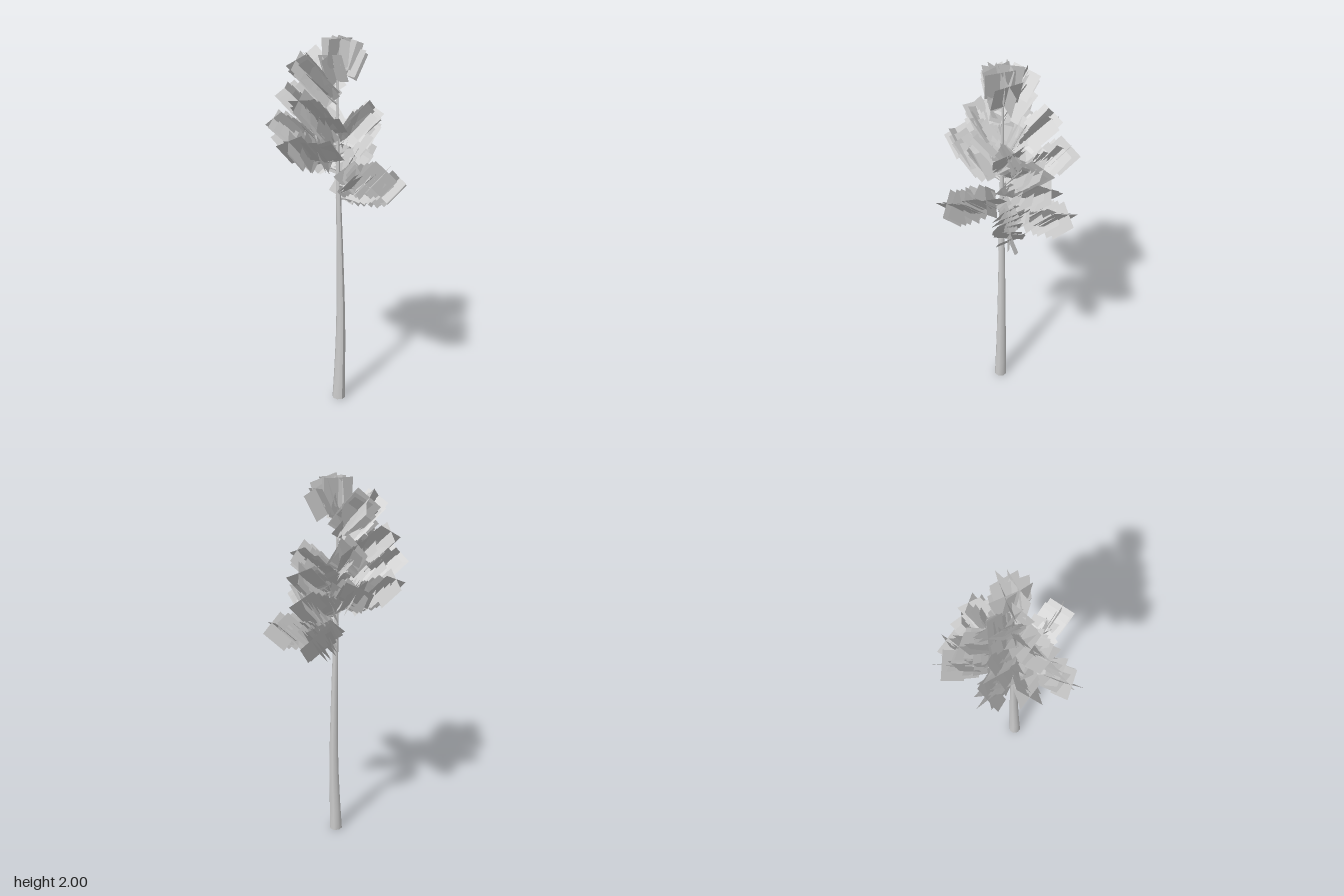
import * as THREE from 'three';
import { mergeGeometries } from 'three/addons/utils/BufferGeometryUtils.js';

const V = (x, y, z) => new THREE.Vector3(x, y, z);
const LEAF = 0.145;

// Small seeded generator, returns -1..1
let seed = 7;
const jitter = () => {
  seed = (seed * 16807) % 2147483647;
  return (seed / 2147483647) * 2 - 1;
};

// Tapered open tube along a curve
function taperedTube(curve, segments, sides, radiusAt) {
  const geo = new THREE.TubeGeometry(curve, segments, 1, sides, false);
  const pos = geo.attributes.position;
  const p = V(0, 0, 0);
  for (let i = 0; i < pos.count; i++) {
    const t = Math.floor(i / (sides + 1)) / segments;
    const c = curve.getPointAt(t);
    p.fromBufferAttribute(pos, i).sub(c).multiplyScalar(radiusAt(t)).add(c);
    pos.setXYZ(i, p.x, p.y, p.z);
  }
  geo.computeVertexNormals();
  return geo;
}

// Two square cards crossed on the leaf's axis, growing from its base
function crossedLeaf(base, azimuth, elevation, roll) {
  const axis = V(Math.cos(elevation) * Math.cos(azimuth), Math.sin(elevation), Math.cos(elevation) * Math.sin(azimuth));
  const side = V(-Math.sin(azimuth), 0, Math.cos(azimuth)).applyAxisAngle(axis, roll);
  const face = side.clone().cross(axis);
  const m = new THREE.Matrix4().makeBasis(side, axis, face).setPosition(base);
  return [0, Math.PI / 2].map((turn) =>
    new THREE.PlaneGeometry(LEAF, LEAF).translate(0, LEAF / 2, 0).rotateY(turn).applyMatrix4(m));
}

export function createModel() {
  const tree = new THREE.Group();
  tree.name = 'tree';
  const bark = new THREE.MeshStandardMaterial({ color: 0xcccccc, side: THREE.DoubleSide });
  bark.name = 'bark grey';
  const foliage = new THREE.MeshStandardMaterial({ color: 0xcccccc, side: THREE.DoubleSide });
  foliage.name = 'leaf grey';

  const add = (parent, name, geo, mat) => {
    const mesh = new THREE.Mesh(geo, mat);
    mesh.name = name;
    parent.add(mesh);
  };

  // Trunk, slightly bowed
  const trunkCurve = new THREE.CatmullRomCurve3([
    V(0.012, 0, 0.022), V(0.024, 0.4, 0.022), V(0.022, 0.8, 0.018),
    V(0.014, 1.2, 0.014), V(0.01, 1.55, 0.008), V(0.012, 1.86, 0.005),
  ]);
  add(tree, 'trunk', taperedTube(trunkCurve, 16, 8, (t) => 0.036 - 0.032 * Math.pow(t, 0.8)), bark);

  // Branches: [height on trunk, end x, end y, end z, leaf roll]
  const branches = [
    [1.17, 0.235, 1.155, 0.08, 0.1],
    [1.17, 0.2, 1.15, -0.16, 0.75],
    [1.24, 0.06, 1.27, 0.24, 0.35],
    [1.28, 0.18, 1.33, -0.08, 0.7],
    [1.4, 0.17, 1.45, -0.04, 0.75],
    [1.35, 0.05, 1.41, -0.24, 0.78],
    [1.37, -0.23, 1.42, 0.09, 0.35],
    [1.32, -0.12, 1.4, -0.17, 0.75],
    [1.45, -0.2, 1.5, -0.06, 0.7],
    [1.45, 0.11, 1.53, 0.03, 0.3],
    [1.5, -0.13, 1.6, 0.03, 0.4],
    [1.51, 0.03, 1.6, -0.15, 0.7],
    [1.54, -0.11, 1.63, -0.12, 0.7],
    [1.66, -0.1, 1.78, -0.02, 0.5],
    [1.7, -0.03, 1.8, -0.07, 0.6],
  ];
  branches.forEach(([y, ex, ey, ez, roll], i) => {
    const group = new THREE.Group();
    group.name = `branch${i + 1}`;
    tree.add(group);
    const start = trunkCurve.getPointAt(y / 1.862);
    const end = V(ex, ey, ez);
    const mid = start.clone().lerp(end, 0.5).add(V(0, -0.012, 0));
    const curve = new THREE.CatmullRomCurve3([start, mid, end]);
    add(group, 'branchStem', taperedTube(curve, 5, 5, (t) => 0.007 - 0.005 * t), bark);

    // Leaves point outward and up, looser near the trunk
    const azimuth = Math.atan2(ez - start.z, ex - start.x);
    const cards = [];
    const count = 7;
    for (let k = 0; k < count; k++) {
      const t = 0.15 + (0.85 * k) / (count - 1);
      const loose = 0.6 - 0.5 * t;
      cards.push(...crossedLeaf(curve.getPointAt(t), azimuth + jitter() * loose,
        0.76 + jitter() * loose * 0.3, roll + jitter() * 0.25));
    }
    add(group, 'branchLeaves', mergeGeometries(cards), foliage);
  });

  // Leaves at the treetop: [base x, y, z, azimuth, elevation]
  const top = [
    [0.055, 1.8, 0.02, 0.1, 1.1],
    [0.025, 1.84, 0.03, 0.3, 1.25],
    [0.012, 1.84, 0.015, 1.6, 1.4],
    [0.01, 1.84, 0.0, -1.2, 1.35],
    [0.01, 1.77, 0.005, 2.9, 1.2],
  ].flatMap(([x, y, z, a, e]) => crossedLeaf(V(x, y, z), a, e, 0.15));
  add(tree, 'treetopLeaves', mergeGeometries(top), foliage);

  return tree;
}
